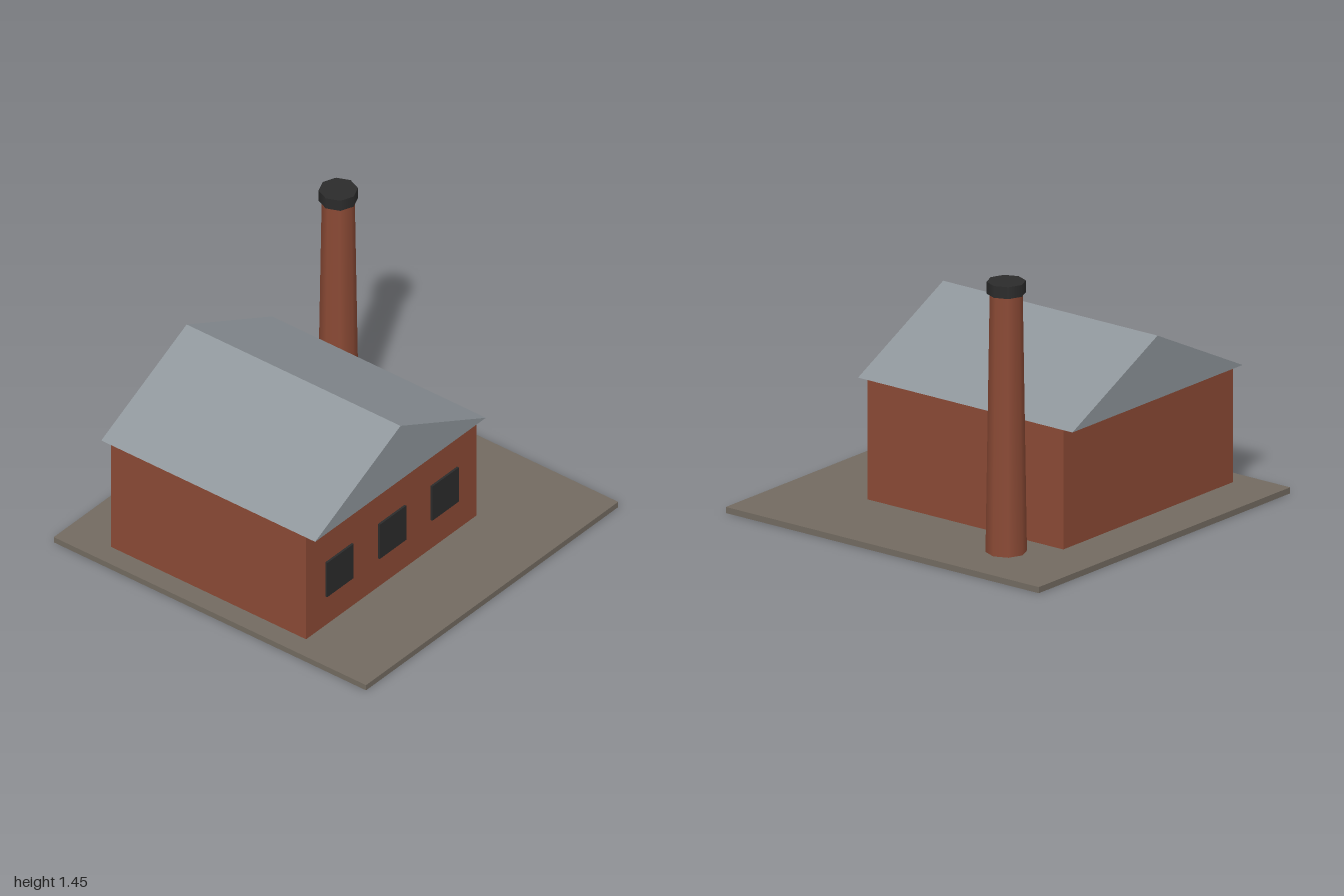
import * as THREE from 'three';

const material = (name, color) => {
  const m = new THREE.MeshStandardMaterial({ color });
  m.name = name;
  return m;
};

export function createModel() {
  const brick = material('brick', 0x8b4a35);
  const slate = material('roof grey', 0x8d9499);
  const dark = material('dark grey', 0x2b2b2b);
  const earth = material('ground', 0x736b61);

  const model = new THREE.Group();
  model.name = 'factory';
  const add = (name, geometry, mat, x, y, z) => {
    const mesh = new THREE.Mesh(geometry, mat);
    mesh.name = name;
    mesh.position.set(x, y, z);
    model.add(mesh);
  };

  const houseX = -0.21;

  // Ground slab and brick hall
  add('ground', new THREE.BoxGeometry(2, 0.032, 2), earth, 0, 0.016, 0);
  add('hall', new THREE.BoxGeometry(1.35, 0.628, 1.25), brick, houseX, 0.346, -0.102);

  // Gabled roof, overhanging at front and back
  const gable = new THREE.Shape();
  gable.moveTo(-0.677, 0);
  gable.lineTo(0.677, 0);
  gable.lineTo(0, 0.332);
  gable.closePath();
  const roof = new THREE.ExtrudeGeometry(gable, { depth: 1.37, bevelEnabled: false });
  add('roof', roof, slate, houseX, 0.66, -0.787);

  // Row of front windows
  for (const i of [-1, 0, 1]) {
    add('window', new THREE.BoxGeometry(0.21, 0.21, 0.02), dark, houseX + i * 0.417, 0.315, 0.525);
  }

  // Tapered chimney with its cap
  add('chimney', new THREE.CylinderGeometry(0.083, 0.104, 1.358, 8), brick, 0.664, 0.711, -0.522);
  add('chimneyCap', new THREE.CylinderGeometry(0.099, 0.099, 0.062, 8), dark, 0.664, 1.421, -0.522);

  return model;
}
